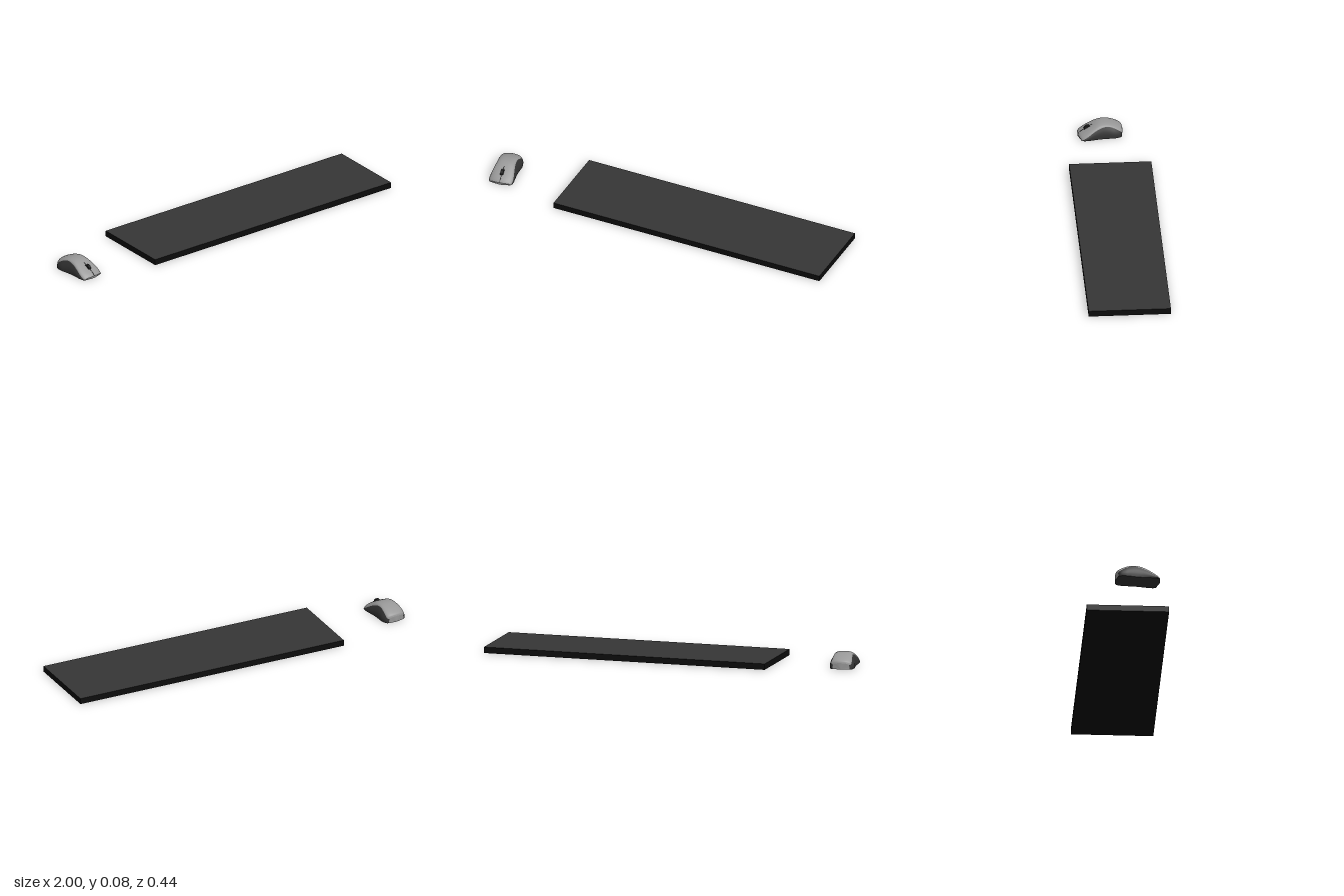
import * as THREE from 'three';

const paint = (name, color, side = THREE.FrontSide) => {
  const m = new THREE.MeshStandardMaterial({ color, side });
  m.name = name;
  return m;
};

// Smooth surface through rows of points, all rows the same length
function loft(rows) {
  const n = rows[0].length;
  const index = [];
  for (let i = 0; i < rows.length - 1; i++) {
    for (let j = 0; j < n - 1; j++) {
      const a = i * n + j, b = a + n;
      index.push(a, a + 1, b, a + 1, b + 1, b);
    }
  }
  const g = new THREE.BufferGeometry();
  g.setAttribute('position', new THREE.Float32BufferAttribute(rows.flat(2), 3));
  g.setIndex(index);
  g.computeVertexNormals();
  return g;
}

// Mouse stations from rear to nose: z, base half width, seam half width, seam height, crest height
const STATIONS = [
  [-0.118, 0.044, 0.042, 0.022, 0.034],
  [-0.112, 0.058, 0.054, 0.030, 0.047],
  [-0.080, 0.065, 0.053, 0.050, 0.064],
  [-0.045, 0.063, 0.049, 0.063, 0.075],
  [-0.015, 0.061, 0.049, 0.064, 0.0785],
  [0.015, 0.061, 0.052, 0.056, 0.075],
  [0.050, 0.063, 0.058, 0.041, 0.059],
  [0.085, 0.065, 0.063, 0.022, 0.040],
  [0.110, 0.063, 0.062, 0.008, 0.024],
  [0.120, 0.056, 0.056, 0.003, 0.012],
];

function createMouse(mat) {
  const mouse = new THREE.Group();
  mouse.name = 'mouse';
  const add = (name, geometry, material) => {
    const mesh = new THREE.Mesh(geometry, material);
    mesh.name = name;
    mouse.add(mesh);
    return mesh;
  };
  const curve = (f) => new THREE.CatmullRomCurve3(STATIONS.map(f), false, 'catmullrom', 0.5);
  const plan = curve((s) => new THREE.Vector3(s[0], s[1], s[2]));
  const heights = curve((s) => new THREE.Vector3(s[3], s[4], 0));

  const top = [], left = [], right = [], base = [];
  const crest = [];
  const STEPS = 36, ARC = 16, SIDE = 5;
  for (let i = 0; i <= STEPS; i++) {
    const { x: z, y: wb, z: ws } = plan.getPoint(i / STEPS);
    const { x: ys, y: yc } = heights.getPoint(i / STEPS);
    // both ends bow outward in plan
    const point = (x, y) => [x, y, z - z * 0.12 * (x / 0.065) ** 2];
    const arc = [], l = [], r = [];
    for (let j = 0; j <= ARC; j++) {
      const a = (Math.PI * j) / ARC, c = Math.cos(a);
      arc.push(point(ws * Math.sign(c) * Math.abs(c) ** 0.8, ys + (yc - ys) * Math.sin(a)));
    }
    for (let j = 0; j <= SIDE; j++) {
      const t = j / SIDE;
      const w = THREE.MathUtils.lerp(wb, ws, t * t) + 0.003 * Math.sin(Math.PI * t);
      l.push(point(w, ys * t));
      r.unshift(point(-w, ys * t));
    }
    top.push(arc);
    left.push(l);
    right.push(r);
    base.push([point(-wb, 0), point(0, 0), point(wb, 0)]);
    crest.push(new THREE.Vector3(0, yc, z));
  }
  add('topShell', loft(top), mat.shell);
  add('leftGrip', loft(left), mat.grip);
  add('rightGrip', loft(right), mat.grip);
  add('mouseBase', loft(base), mat.grip);

  // Closed rear and nose faces
  const section = (i) => [...left[i], ...top[i], ...right[i]];
  const hub = (i) => section(i).map(() => base[i][1]);
  add('rearFace', loft([hub(0), section(0)]), mat.shell);
  add('noseFace', loft([section(STEPS), hub(STEPS)]), mat.shell);

  // Split between the two buttons
  const seam = new THREE.CatmullRomCurve3(crest.filter((p) => p.z > 0.035));
  add('buttonSeam', new THREE.TubeGeometry(seam, 24, 0.0012, 6), mat.wheel);

  // Scroll wheel in its slot
  const wheel = add('scrollWheel', new THREE.CylinderGeometry(0.018, 0.018, 0.016, 28), mat.wheel);
  wheel.rotation.z = Math.PI / 2;
  wheel.position.set(0, 0.042, 0.068);

  mouse.position.set(-0.922, 0, 0.03);
  mouse.rotation.y = 0.13;
  return mouse;
}

export function createModel() {
  const mat = {
    caseBlack: paint('case black', 0x0c0c0c),
    deck: paint('deck charcoal', 0x363636),
    shell: paint('shell grey', 0x989898, THREE.DoubleSide),
    grip: paint('grip charcoal', 0x343434, THREE.DoubleSide),
    wheel: paint('wheel black', 0x1c1c1c),
  };
  const model = new THREE.Group();
  model.name = 'keyboardAndMouse';

  // Keyboard slab: black case with a charcoal upper face
  const c = mat.caseBlack;
  const slab = new THREE.Mesh(new THREE.BoxGeometry(1.557, 0.032, 0.436), [c, c, mat.deck, c, c, c]);
  slab.name = 'keyboard';
  slab.position.set(0.2215, 0.016, 0);
  model.add(slab, createMouse(mat));
  return model;
}
